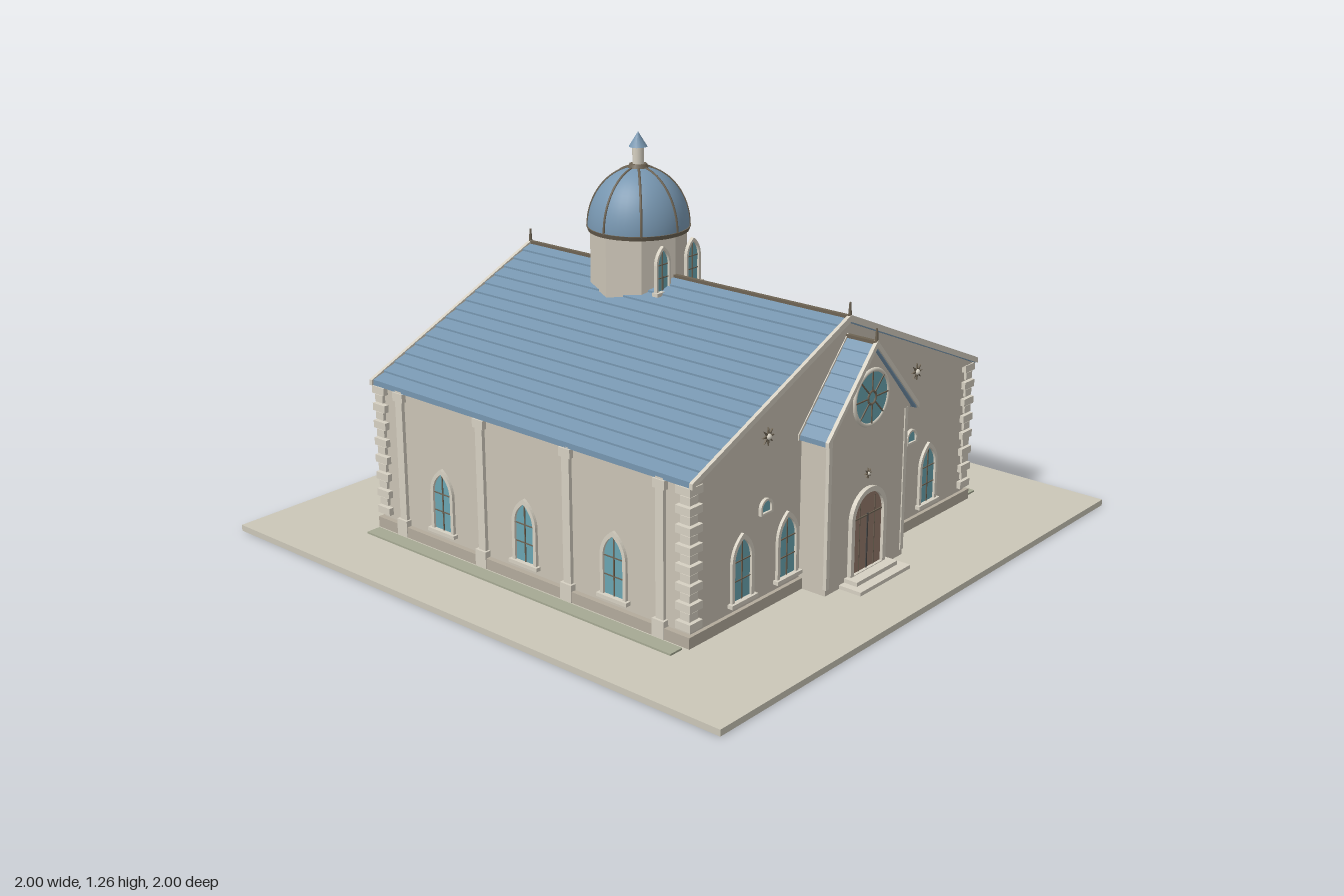
import * as THREE from 'three';

const mat = (color, side = THREE.FrontSide) => new THREE.MeshStandardMaterial({ color, side });
const M = {
  ground: mat(0xcbc7b8), grass: mat(0xa6a993), wall: mat(0xcac3b5), plinth: mat(0xb3ab9c),
  trim: mat(0xd6d0c2), roof: mat(0x7796b0), glass: mat(0x6aa5b2), door: mat(0x957a6c),
  dark: mat(0x6d6353), iron: mat(0x4c4a48),
};

function add(parent, name, geo, material, x = 0, y = 0, z = 0) {
  const m = new THREE.Mesh(geo, material);
  m.name = name;
  m.position.set(x, y, z);
  parent.add(m);
  return m;
}
const box = (p, name, m, w, h, d, x, y, z) => add(p, name, new THREE.BoxGeometry(w, h, d), m, x, y, z);
const extrude = (shape, depth) =>
  new THREE.ExtrudeGeometry(shape, { depth, bevelEnabled: false, curveSegments: 10 });
const poly = (pts) => new THREE.Shape(pts.map(([x, y]) => new THREE.Vector2(x, y)));

// Arch outline standing on y = 0; pointed or round head
function arch(hw, spring, top, pointed, y0 = 0) {
  const s = new THREE.Shape();
  s.moveTo(-hw, y0);
  s.lineTo(hw, y0);
  s.lineTo(hw, spring);
  if (pointed) {
    const k = spring + (top - spring) * 0.62;
    s.quadraticCurveTo(hw * 0.92, k, 0, top);
    s.quadraticCurveTo(-hw * 0.92, k, -hw, spring);
  } else {
    s.absellipse(0, spring, hw, top - spring, 0, Math.PI, false);
  }
  s.closePath();
  return s;
}

// Framed pointed window facing +z, foot at its origin
function makeWindow(name, w = 0.1, h = 0.21) {
  const g = new THREE.Group();
  g.name = name;
  const hw = w / 2, t = w * 0.12, spring = h * 0.62;
  const frame = arch(hw, spring, h, true);
  frame.holes.push(arch(hw - t, spring, h - t * 1.4, true, t * 0.5));
  add(g, 'windowFrame', extrude(frame, 0.012), M.trim);
  add(g, 'windowGlass', extrude(arch(hw - t, spring, h - t * 1.4, true), 0.004), M.glass);
  box(g, 'windowMullion', M.dark, 0.004, h * 0.9, 0.004, 0, h * 0.46, 0.005);
  for (const f of [0.32, 0.6]) box(g, 'windowBar', M.dark, w - 2 * t, 0.003, 0.004, 0, h * f, 0.005);
  box(g, 'windowSill', M.trim, w * 1.18, 0.012, 0.022, 0, 0, 0.009);
  return g;
}
function place(parent, obj, x, y, z, ry = 0) {
  obj.position.set(x, y, z);
  obj.rotation.y = ry;
  parent.add(obj);
}

// Gabled roof skin with overlapping courses, running along z
function makeRoof(name, hw, eave, ridge, z0, z1, n, lip) {
  const g = new THREE.Group();
  g.name = name;
  const left = [], rise = ridge - eave;
  for (let i = 0; i < n; i++) {
    left.push([-hw * (1 - i / n), eave + rise * i / n + lip]);
    left.push([-hw * (1 - (i + 1) / n), eave + rise * (i + 1) / n]);
  }
  const right = left.slice(0, -1).reverse().map(([x, y]) => [-x, y]);
  const pts = [...left, ...right, [hw, eave - 0.012], [0, ridge - 0.016], [-hw, eave - 0.012]];
  add(g, 'roofCourses', extrude(poly(pts), z1 - z0), M.roof, 0, 0, z0);
  // Verge strips on both gable ends, ridge cap
  const o = 0.006;
  const verge = poly([[-hw - o, eave - 0.012], [0, ridge - 0.012], [hw + o, eave - 0.012],
    [hw + o, eave + 0.006], [0, ridge + 0.009], [-hw - o, eave + 0.006]]);
  for (const z of [z0 - 0.006, z1 - 0.006]) add(g, 'verge', extrude(verge, 0.012), M.trim, 0, 0, z);
  box(g, 'ridgeCap', M.dark, 0.014, 0.01, z1 - z0, 0, ridge + 0.002, (z0 + z1) / 2);
  return g;
}
function finial(parent, y, z) {
  add(parent, 'finial', new THREE.CylinderGeometry(0.003, 0.006, 0.045, 8), M.dark, 0, y + 0.02, z);
}

// Eight-rayed star ornament facing +z
function star(parent, r, x, y, z) {
  const pts = [];
  for (let i = 0; i < 16; i++) {
    const a = i * Math.PI / 8, q = i % 2 ? r * 0.35 : r;
    pts.push([q * Math.cos(a), q * Math.sin(a)]);
  }
  add(parent, 'starOrnament', extrude(poly(pts), 0.006), M.dark, x, y, z);
  add(parent, 'starCentre', new THREE.SphereGeometry(r * 0.35, 10, 6), M.trim, x, y, z + 0.005);
}

export function createModel() {
  const model = new THREE.Group();
  model.name = 'church';

  // Ground and grass strips
  box(model, 'groundSlab', M.ground, 2, 0.02, 2, 0, 0.01, 0);
  for (const s of [-1, 1]) box(model, 'grassStrip', M.grass, 0.05, 0.006, 1.28, s * 0.755, 0.023, 0);

  // Nave walls, plinth and gables
  const nave = new THREE.Group();
  nave.name = 'nave';
  model.add(nave);
  box(nave, 'plinth', M.plinth, 1.435, 0.035, 1.31, 0, 0.0375, 0);
  box(nave, 'walls', M.wall, 1.4, 0.49, 1.285, 0, 0.265, 0);
  add(nave, 'gables', extrude(poly([[-0.71, 0.5], [0.71, 0.5], [0, 0.808]]), 1.306), M.wall, 0, 0, -0.653);
  model.add(makeRoof('naveRoof', 0.712, 0.512, 0.82, -0.66, 0.66, 16, 0.006));
  for (const z of [-0.66, 0.66]) finial(nave, 0.825, z);

  // Windows: front, back, sides
  for (const x of [-0.475, -0.265, 0.265, 0.475]) place(model, makeWindow('frontWindow'), x, 0.08, 0.64);
  for (const x of [-0.55, -0.31, 0, 0.31, 0.55]) place(model, makeWindow('backWindow'), x, 0.08, -0.64, Math.PI);
  for (const s of [-1, 1]) {
    for (const z of [-0.36, 0, 0.36]) place(model, makeWindow('sideWindow'), s * 0.698, 0.08, z, s * Math.PI / 2);
    // Pilasters with base and capital
    for (const z of [-0.54, -0.18, 0.18, 0.54]) {
      box(nave, 'pilaster', M.trim, 0.024, 0.48, 0.03, s * 0.7, 0.265, z);
      box(nave, 'pilasterBase', M.trim, 0.04, 0.055, 0.045, s * 0.7, 0.0475, z);
      box(nave, 'pilasterCapital', M.trim, 0.032, 0.028, 0.045, s * 0.7, 0.485, z);
    }
    // Corner quoins, alternately long and short
    for (const t of [-1, 1]) for (let i = 0; i < 15; i++) {
      const long = i % 2 === 0, w = long ? 0.055 : 0.035;
      box(nave, 'quoin', M.trim, w, 0.024, w, s * (0.717 - w / 2 - (long ? 0 : 0.006)),
        0.082 + i * 0.029, t * (0.657 - w / 2 - (long ? 0 : 0.006)));
    }
    // Small round-headed niches and star ornaments on the front
    const rim = arch(0.028, 0.02, 0.048, false);
    rim.holes.push(arch(0.021, 0.02, 0.041, false, 0.006));
    add(nave, 'nicheFrame', extrude(rim, 0.012), M.trim, s * 0.37, 0.315, 0.641);
    add(nave, 'nicheGlass', extrude(arch(0.021, 0.02, 0.041, false), 0.005), M.glass, s * 0.37, 0.315, 0.641);
    star(nave, 0.028, s * 0.375, 0.555, 0.652);
  }

  // Entrance porch
  const porch = new THREE.Group();
  porch.name = 'porch';
  model.add(porch);
  box(porch, 'porchWalls', M.wall, 0.4, 0.49, 0.11, 0, 0.265, 0.685);
  add(porch, 'porchGable', extrude(poly([[-0.215, 0.508], [0.215, 0.508], [0, 0.75]]), 0.1), M.wall, 0, 0, 0.643);
  for (const s of [-1, 1]) box(porch, 'porchCorner', M.trim, 0.015, 0.47, 0.012, s * 0.193, 0.275, 0.738);
  porch.add(makeRoof('porchRoof', 0.225, 0.512, 0.762, 0.65, 0.757, 8, 0.004));
  finial(porch, 0.765, 0.757);
  box(porch, 'lowerStep', M.trim, 0.26, 0.012, 0.085, 0, 0.026, 0.777);
  box(porch, 'upperStep', M.trim, 0.21, 0.014, 0.055, 0, 0.038, 0.76);

  // Round-headed double door
  const surround = arch(0.09, 0.175, 0.265, false);
  surround.holes.push(arch(0.074, 0.175, 0.249, false, 0.002));
  add(porch, 'doorSurround', extrude(surround, 0.016), M.trim, 0, 0.045, 0.738);
  add(porch, 'door', extrude(arch(0.074, 0.175, 0.249, false), 0.006), M.door, 0, 0.045, 0.738);
  box(porch, 'doorSeam', M.iron, 0.005, 0.18, 0.004, 0, 0.135, 0.745);
  box(porch, 'doorTransom', M.dark, 0.146, 0.004, 0.004, 0, 0.22, 0.745);
  for (const x of [-0.038, 0.038]) box(porch, 'doorPanelLine', M.dark, 0.003, 0.23, 0.003, x, 0.16, 0.744);
  star(porch, 0.017, 0, 0.352, 0.739);

  // Rose window
  const rose = new THREE.Group();
  rose.name = 'roseWindow';
  place(porch, rose, 0, 0.592, 0.744);
  add(rose, 'roseGlass', new THREE.CylinderGeometry(0.084, 0.084, 0.006, 40), M.glass).rotation.x = Math.PI / 2;
  add(rose, 'roseRim', new THREE.TorusGeometry(0.084, 0.007, 8, 48), M.trim);
  add(rose, 'roseHub', new THREE.TorusGeometry(0.02, 0.004, 6, 24), M.dark, 0, 0, 0.003);
  for (let i = 0; i < 8; i++) {
    const a = i * Math.PI / 4;
    box(rose, 'roseSpoke', M.dark, 0.064, 0.004, 0.006, 0.05 * Math.cos(a), 0.05 * Math.sin(a), 0.003).rotation.z = a;
  }

  // Tower: octagonal drum, dome with ribs, lantern
  const tower = new THREE.Group();
  tower.name = 'tower';
  place(model, tower, 0, 0, -0.17);
  const drum = new THREE.CylinderGeometry(0.155, 0.155, 0.26, 8).toNonIndexed();
  drum.computeVertexNormals();
  add(tower, 'drum', drum, M.wall, 0, 0.83, 0);
  for (const s of [-1, 1]) place(tower, makeWindow('drumWindow', 0.068, 0.15), s * 0.072, 0.785, 0.158);
  add(tower, 'domeCornice', new THREE.CylinderGeometry(0.167, 0.162, 0.014, 40), M.dark, 0, 0.957, 0);
  const dome = add(tower, 'dome',
    new THREE.SphereGeometry(1, 40, 16, 0, Math.PI * 2, 0, Math.PI / 2), M.roof, 0, 0.96, 0);
  dome.scale.set(0.163, 0.194, 0.163);
  const arc = [];
  for (let i = 0; i <= 8; i++) {
    const a = i * Math.PI / 16;
    arc.push(new THREE.Vector3(0.163 * Math.cos(a), 0.194 * Math.sin(a), 0));
  }
  const rib = new THREE.TubeGeometry(new THREE.CatmullRomCurve3(arc), 24, 0.004, 6);
  for (let i = 0; i < 8; i++) add(tower, 'domeRib', rib, M.dark, 0, 0.96, 0).rotation.y = i * Math.PI / 4;
  add(tower, 'lanternBase', new THREE.CylinderGeometry(0.028, 0.034, 0.012, 16), M.dark, 0, 1.156, 0);
  add(tower, 'lantern', new THREE.CylinderGeometry(0.019, 0.019, 0.06, 12), M.trim, 0, 1.188, 0);
  add(tower, 'lanternSpire', new THREE.ConeGeometry(0.03, 0.048, 12), M.roof, 0, 1.24, 0);
  return model;
}
